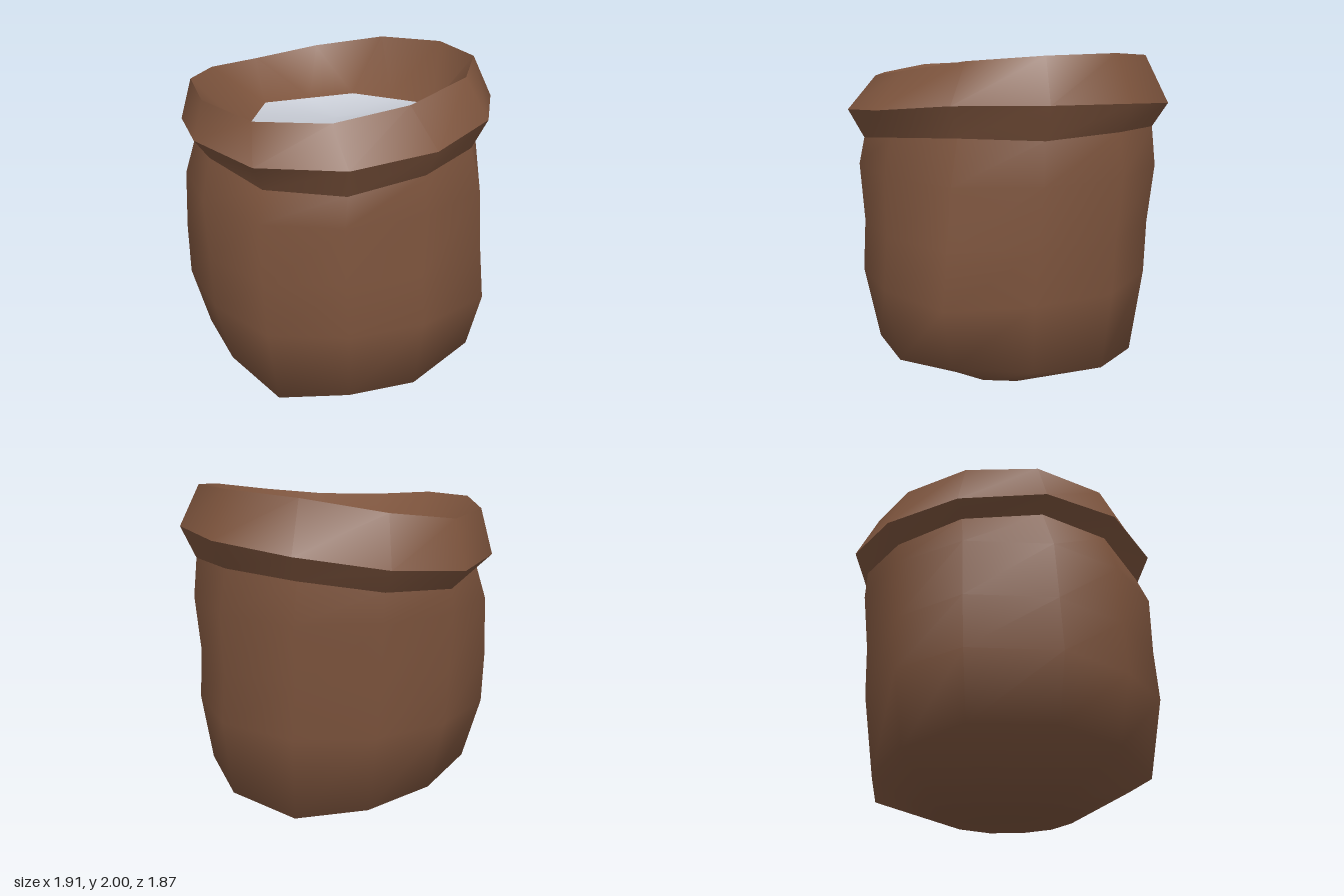
import * as THREE from 'three';

// Twelve spokes of the rolled rim, clockwise from the back:
// ridge x, ridge z, ridge y, lower edge y, lip x, lip z, lip y
const SPOKES = [
  [0.11, -0.94, 1.74, 1.58, 0.11, -0.82, 2.0],
  [0.59, -0.74, 1.755, 1.565, 0.51, -0.65, 1.995],
  [0.88, -0.33, 1.75, 1.575, 0.73, -0.3, 1.965],
  [0.94, 0.16, 1.7, 1.545, 0.74, 0.16, 1.9],
  [0.76, 0.61, 1.66, 1.49, 0.58, 0.56, 1.85],
  [0.38, 0.91, 1.65, 1.5, 0.27, 0.82, 1.845],
  [-0.11, 0.93, 1.675, 1.56, -0.13, 0.85, 1.88],
  [-0.55, 0.73, 1.66, 1.575, -0.53, 0.66, 1.89],
  [-0.88, 0.34, 1.6, 1.52, -0.8, 0.33, 1.86],
  [-0.96, -0.12, 1.58, 1.47, -0.86, -0.07, 1.845],
  [-0.79, -0.57, 1.63, 1.5, -0.7, -0.47, 1.9],
  [-0.4, -0.88, 1.7, 1.56, -0.34, -0.75, 1.975],
];
const N = SPOKES.length;

// Uneven sag of the cloth per spoke: outward push, and height change at the hip
const PUSH = [0, -0.04, 0.07, -0.025, -0.06, -0.01, 0, 0.07, 0.07, 0, -0.03, -0.01];
const HIP = [-0.04, 0.01, 0.07, -0.02, -0.02, -0.05, 0.03, 0.05, 0.05, 0, -0.05, -0.09];

// Body sections: y, centre x, half width, centre z, half depth, push strength, hip strength
const SECTIONS = [
  [0, 0.045, 0.39, 0.015, 0.39, 0, 0],
  [0.24, 0.06, 0.815, 0.01, 0.82, 0.9, 1],
  [0.67, 0.055, 0.9, 0.025, 0.895, 1, 0],
  [0.98, 0.03, 0.89, 0.025, 0.89, 0.9, 0],
  [1.33, 0.015, 0.895, 0.015, 0.905, 0.45, 0],
];

// Six-sided edge of the contents, x and z
const FILL = [[0.25, -0.61], [0.52, -0.14], [0.36, 0.47], [-0.2, 0.52], [-0.62, 0.05], [-0.36, -0.5]];
const FILL_Y = 1.64;

// Smooth skin through closed rings; bandMaterials gives a material index per band
function loft(rings, bandMaterials) {
  const geo = new THREE.BufferGeometry();
  const index = [];
  for (let r = 0; r < rings.length - 1; r++) {
    const start = index.length;
    for (let i = 0; i < N; i++) {
      const j = (i + 1) % N;
      const a = r * N, b = a + N;
      index.push(a + j, a + i, b + i, a + j, b + i, b + j);
    }
    if (bandMaterials) geo.addGroup(start, index.length - start, bandMaterials[r]);
  }
  geo.setAttribute('position', new THREE.Float32BufferAttribute(rings.flat(2), 3));
  geo.setIndex(index);
  geo.computeVertexNormals();
  return geo;
}

const point = (x, y, z) => Array.from({ length: N }, () => [x, y, z]);

export function createModel() {
  const cloth = new THREE.MeshStandardMaterial({ color: 0x7d543d });
  cloth.name = 'brownCloth';
  const fill = new THREE.MeshStandardMaterial({ color: 0xc8ccd5 });
  fill.name = 'paleGrey';

  const ridge = SPOKES.map(([x, z, y]) => [x, y, z]);
  const lower = SPOKES.map(([x, z, , y]) => [x * 0.91, y, z * 0.91]);
  const lip = SPOKES.map((s) => [s[4], s[6], s[5]]);
  const fillEdge = SPOKES.map((_, i) => {
    const a = FILL[Math.floor(i / 2)];
    const b = FILL[Math.ceil(i / 2) % FILL.length];
    const x = (a[0] + b[0]) / 2;
    return [x, FILL_Y + 0.05 * x, (a[1] + b[1]) / 2];
  });
  const body = SECTIONS.map(([y, cx, sx, cz, sz, push, hip]) =>
    SPOKES.map(([x, z], i) => {
      const out = (PUSH[i] * push) / Math.hypot(x, z);
      return [cx + x * (sx / 0.95 + out), y + HIP[i] * hip, cz + z * (sz / 0.935 + out)];
    }));

  const group = new THREE.Group();
  group.name = 'sack';
  const add = (name, geo, material) => {
    const mesh = new THREE.Mesh(geo, material);
    mesh.name = name;
    group.add(mesh);
  };

  // Sagging sack with closed base
  add('sackBody', loft([point(0.045, 0, 0.015), ...body, lower]), cloth);
  // Rolled rim, creased at the ridge
  add('rimUnderside', loft([lower, ridge]), cloth);
  add('rimTop', loft([ridge, lip]), cloth);
  // Inner slope running smoothly into the contents
  add('innerSlopeAndContents', loft([lip, fillEdge, point(-0.01, FILL_Y - 0.01, -0.03)], [0, 1]), [cloth, fill]);
  return group;
}
